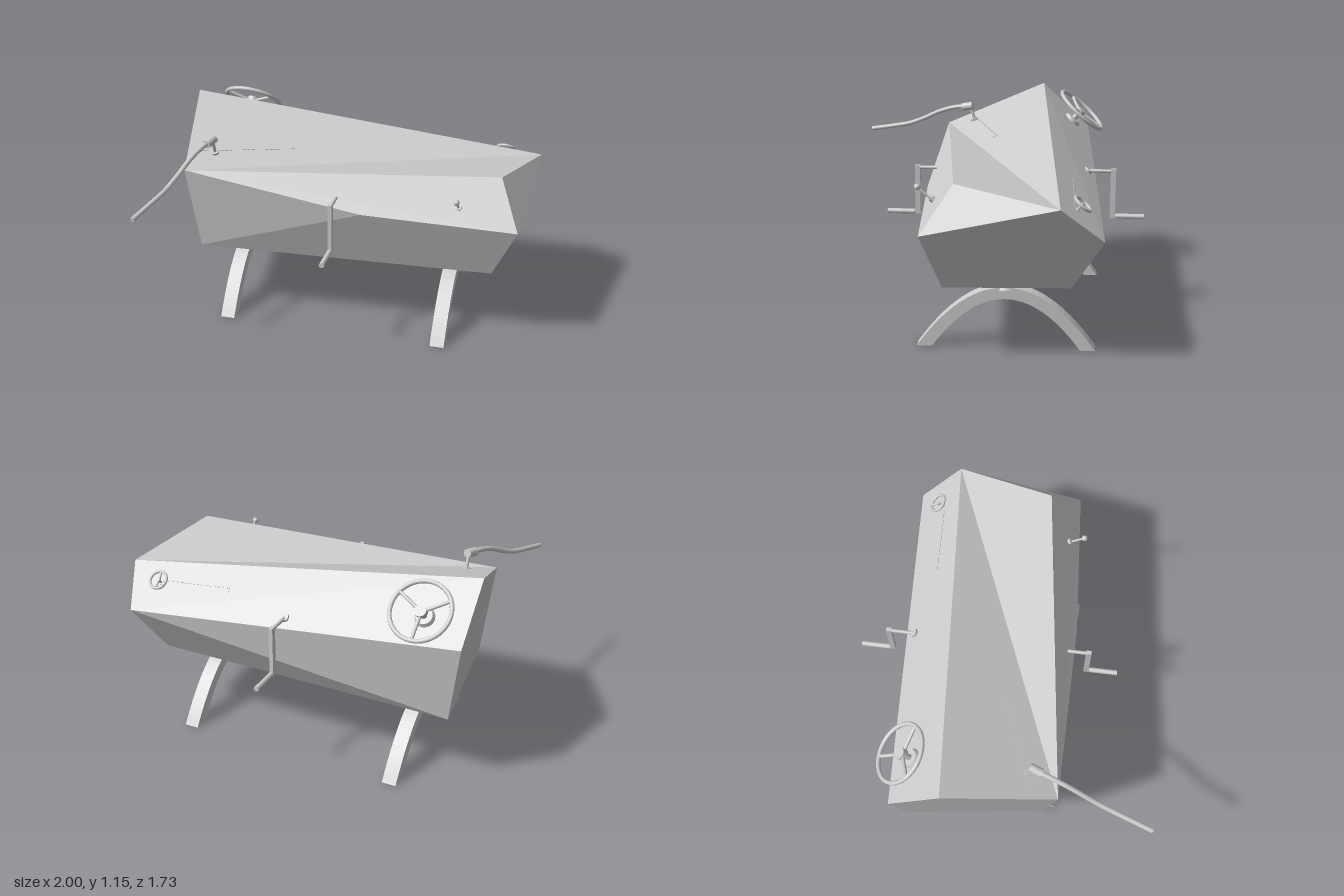
import * as THREE from 'three';

const V = (x, y, z) => new THREE.Vector3(x, y, z);
const mat = new THREE.MeshStandardMaterial({ color: 0xcccccc });
const UP = V(0, 1, 0);

function add(parent, name, geometry, pos) {
  const m = new THREE.Mesh(geometry, mat);
  m.name = name;
  if (pos) m.position.copy(pos);
  parent.add(m);
  return m;
}

// Cylinder between two points
function rod(parent, name, a, b, r, r2 = r) {
  const d = b.clone().sub(a);
  const m = add(parent, name, new THREE.CylinderGeometry(r2, r, d.length(), 20), a.clone().lerp(b, 0.5));
  m.quaternion.setFromUnitVectors(UP, d.normalize());
  return m;
}

// Corners of the faceted body
const P = {
  A: V(-1, 1.153, -0.245), B: V(1, 0.89, -0.42), C: V(-0.875, 0.912, 0.35), D: V(0.85, 0.97, 0.12),
  E: V(0.97, 0.728, 0.285), F: V(0.9, 0.7, -0.64), G: V(-1, 0.88, -0.53), H: V(0.13, 0.765, 0.35),
  c: V(-0.83, 0.415, 0.275), e: V(0.83, 0.415, 0.185), f: V(0.785, 0.415, -0.475), g: V(-0.93, 0.415, -0.47),
};
const FACES = ['CAB', 'CBD', 'CDEH', 'BDE', 'EBFfe', 'AFB', 'AGF', 'FGg', 'Fgf', 'CHc', 'HEec', 'AGgcC', 'cefg'];

function bodyGeometry() {
  const centre = V(0, 0.7, -0.1), pos = [];
  for (const face of FACES) {
    const p = [...face].map((k) => P[k]);
    for (let i = 1; i < p.length - 1; i++) {
      const t = [p[0], p[i], p[i + 1]];
      const n = t[1].clone().sub(t[0]).cross(t[2].clone().sub(t[0]));
      if (n.dot(t[0].clone().sub(centre)) < 0) t.reverse();
      t.forEach((v) => pos.push(v.x, v.y, v.z));
    }
  }
  const g = new THREE.BufferGeometry();
  g.setAttribute('position', new THREE.Float32BufferAttribute(pos, 3));
  g.computeVertexNormals();
  return g;
}

// Upward-facing plane through three corners, and a point on it
function planeOf(a, b, c) {
  const pl = new THREE.Plane().setFromCoplanarPoints(a, b, c);
  return pl.normal.y < 0 ? pl.negate() : pl;
}
const onPlane = (pl, x, z) => V(x, -(pl.constant + pl.normal.x * x + pl.normal.z * z) / pl.normal.y, z);

// Row of short dashes lying on a face, with a tick at the far end
function scale(parent, name, pl, [x0, z0], [x1, z1], tick) {
  const g = new THREE.Group();
  g.name = name;
  const a = onPlane(pl, x0, z0), b = onPlane(pl, x1, z1);
  const dir = b.clone().sub(a).normalize();
  const q = new THREE.Quaternion().setFromRotationMatrix(
    new THREE.Matrix4().makeBasis(dir, pl.normal, dir.clone().cross(pl.normal)));
  const n = 22, len = a.distanceTo(b);
  for (let i = 0; i < n; i++) {
    add(g, 'dash', new THREE.BoxGeometry(len / n * 0.7, 0.005, 0.006), a.clone().lerp(b, (i + 0.5) / n)).quaternion.copy(q);
  }
  const side = dir.clone().cross(pl.normal).multiplyScalar(tick);
  add(g, 'tick', new THREE.BoxGeometry(0.006, 0.005, 0.03), b.clone().add(side)).quaternion.copy(q);
  parent.add(g);
}

// Rim, spokes and hub in the XZ plane, axis along y
function handWheel(name, radius, tube, spokes, drop) {
  const g = new THREE.Group();
  g.name = name;
  add(g, 'rim', new THREE.TorusGeometry(radius, tube, 12, 48)).rotation.x = Math.PI / 2;
  for (let i = 0; i < spokes; i++) {
    const t = -Math.PI / 2 + (i / spokes) * Math.PI * 2;
    rod(g, 'spoke', V(0, -drop * 0.2, 0), V(Math.cos(t) * radius, 0, Math.sin(t) * radius), tube * 0.8);
  }
  rod(g, 'hub', V(0, -drop * 0.3, 0), V(0, drop * 0.06, 0), radius * 0.2);
  rod(g, 'column', V(0, -drop * 1.1, 0), V(0, 0, 0), radius * 0.1);
  rod(g, 'columnFlange', V(0, -drop * 1.05, 0), V(0, -drop * 0.8, 0), radius * 0.34, radius * 0.28);
  return g;
}

// Crank: shaft out of the body, arm down, grip outward
function crank(name, z0, z1, z2, normal) {
  const g = new THREE.Group(), x = -0.018, s = Math.sign(z1), base = V(x, 0.835, z0);
  g.name = name;
  rod(g, 'shaft', V(x, 0.832, z0 - s * 0.06), V(x, 0.832, z1), 0.01);
  rod(g, 'flange', base.clone().addScaledVector(normal, -0.02), base.clone().addScaledVector(normal, 0.008), 0.024);
  add(g, 'arm', new THREE.BoxGeometry(0.022, 0.285, 0.03), V(x, 0.702, z1));
  rod(g, 'pin', V(x, 0.57, z1), V(x, 0.57, z1 + s * 0.03), 0.01);
  rod(g, 'grip', V(x, 0.57, z1 + s * 0.02), V(x, 0.57, z2), 0.0145);
  return g;
}

// Parabolic arch leg, drawn with shape x = -z
function archGeometry() {
  const s = new THREE.Shape(), n = 28;
  const curve = (half, top, dir) => {
    for (let i = 0; i <= n; i++) {
      const u = dir * (-1 + (2 * i) / n);
      const p = [u * half, top * (1 - u * u)];
      if (dir > 0 && i === 0) s.moveTo(...p); else s.lineTo(...p);
    }
  };
  curve(0.48, 0.345, 1);
  curve(0.398, 0.28, -1);
  const g = new THREE.ExtrudeGeometry(s, { depth: 0.08, bevelEnabled: false });
  return g.translate(0, 0, -0.04).rotateY(Math.PI / 2);
}

export function createModel() {
  const root = new THREE.Group();
  root.name = 'facetedConsole';
  add(root, 'body', bodyGeometry());

  const deck = planeOf(P.A, P.B, P.F), top = planeOf(P.A, P.B, P.C), frontSlope = planeOf(P.C, P.D, P.E);

  // Stand: two arches, a crossbar and swivel mounts
  const zc = -0.125;
  for (const x of [-0.665, 0.57]) {
    add(root, 'archLeg', archGeometry(), V(x, 0, zc));
    const mount = new THREE.Group();
    mount.name = 'swivelMount';
    mount.position.set(x, 0, zc);
    rod(mount, 'base', V(0, 0.33, 0), V(0, 0.358, 0), 0.055, 0.04);
    rod(mount, 'pivot', V(0, 0.35, 0), V(0, 0.4, 0), 0.036);
    add(mount, 'lowerPlate', new THREE.BoxGeometry(0.08, 0.008, 0.13), V(0, 0.385, 0));
    add(mount, 'upperPlate', new THREE.BoxGeometry(0.106, 0.014, 0.18), V(0, 0.402, 0));
    for (const sx of [-1, 1]) for (const sz of [-1, 1]) {
      rod(mount, 'bolt', V(sx * 0.035, 0.382, sz * 0.07), V(sx * 0.035, 0.416, sz * 0.07), 0.01);
    }
    root.add(mount);
  }
  add(root, 'crossbar', new THREE.BoxGeometry(1.17, 0.054, 0.1), V(-0.048, 0.311, zc));

  // Cranks front and back
  root.add(crank('frontCrank', 0.3, 0.428, 0.605, frontSlope.normal));
  root.add(crank('backCrank', -0.545, -0.685, -0.865, deck.normal));

  // Large and small wheels on the back deck
  const tilt = new THREE.Quaternion().setFromUnitVectors(UP, deck.normal);
  const wheel = handWheel('steeringWheel', 0.162, 0.012, 3, 0.085);
  wheel.position.set(-0.76, 1.03, -0.49);
  const knob = handWheel('smallWheel', 0.05, 0.008, 2, 0.045);
  knob.position.set(0.78, 0.862, -0.525);
  for (const w of [wheel, knob]) {
    w.quaternion.copy(tilt);
    root.add(w);
  }

  // Dashed scales on deck and top
  scale(root, 'deckScale', deck, [0.75, -0.485], [0.36, -0.467], 0.01);
  scale(root, 'topScale', top, [-0.855, 0.195], [-0.34, 0], 0.015);

  // Long bent lever on its post
  const lever = new THREE.Group();
  lever.name = 'longLever';
  const path = [[0.2, 1.042], [0.3, 1.028], [0.4, 0.995], [0.5, 0.945], [0.6, 0.903], [0.73, 0.872], [0.86, 0.845]]
    .map(([z, y]) => V(-0.763 - (z - 0.2) * 0.303, y, z));
  add(lever, 'rod', new THREE.TubeGeometry(new THREE.CatmullRomCurve3(path), 40, 0.0135, 12));
  const tip = path[path.length - 1];
  rod(lever, 'rodEnd', tip.clone().lerp(path[5], 0.05), tip, 0.0135);
  rod(lever, 'socket', V(-0.755, 1.047, 0.185), V(-0.776, 1.034, 0.25), 0.024);
  rod(lever, 'post', V(-0.757, 0.94, 0.17), V(-0.76, 1.04, 0.2), 0.0095);
  rod(lever, 'postFoot', V(-0.757, 0.945, 0.172), V(-0.757, 0.966, 0.18), 0.022);
  root.add(lever);

  // Small ball-ended toggle on the front slope
  const toggle = new THREE.Group();
  toggle.name = 'toggleLever';
  rod(toggle, 'flange', V(0.645, 0.818, 0.235), V(0.645, 0.838, 0.262), 0.017);
  rod(toggle, 'stalk', V(0.645, 0.815, 0.24), V(0.645, 0.893, 0.332), 0.006);
  add(toggle, 'ball', new THREE.SphereGeometry(0.017, 16, 12), V(0.645, 0.895, 0.333));
  root.add(toggle);

  return root;
}
